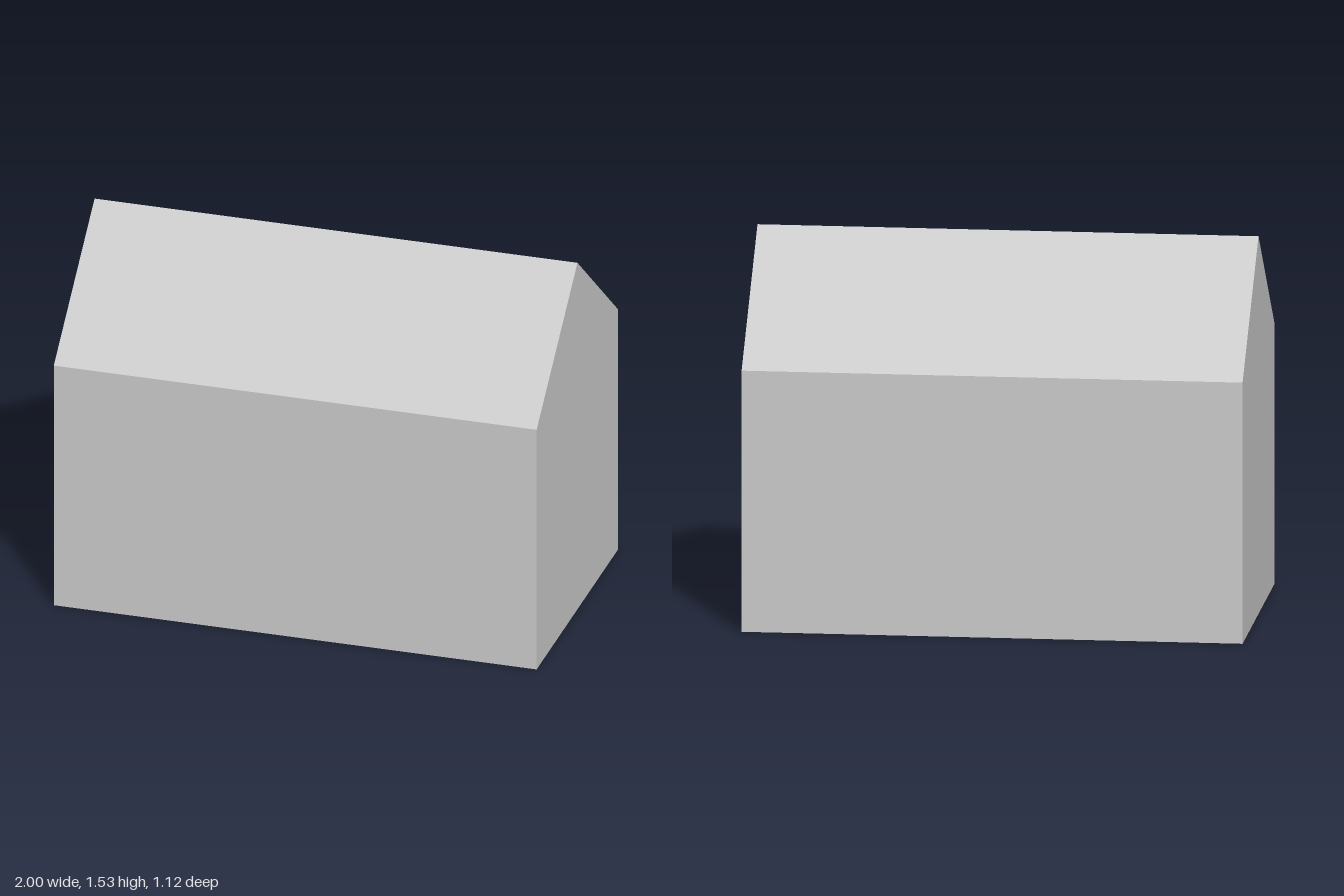
import * as THREE from 'three';

const LENGTH = 2, HALF_DEPTH = 0.5625, EAVES = 1.06, RIDGE = 1.533;

export function createModel() {
  const group = new THREE.Group();
  group.name = 'house';

  // Gable outline: upright walls with a pitched roof
  const gable = new THREE.Shape([
    new THREE.Vector2(-HALF_DEPTH, 0),
    new THREE.Vector2(HALF_DEPTH, 0),
    new THREE.Vector2(HALF_DEPTH, EAVES),
    new THREE.Vector2(0, RIDGE),
    new THREE.Vector2(-HALF_DEPTH, EAVES),
  ]);

  // Run the outline along x, centred
  const geometry = new THREE.ExtrudeGeometry(gable, { depth: LENGTH, bevelEnabled: false });
  geometry.translate(0, 0, -LENGTH / 2);
  geometry.rotateY(Math.PI / 2);

  const material = new THREE.MeshStandardMaterial({ color: 0xcccccc, flatShading: true });
  const body = new THREE.Mesh(geometry, material);
  body.name = 'gabledBody';
  group.add(body);
  return group;
}
